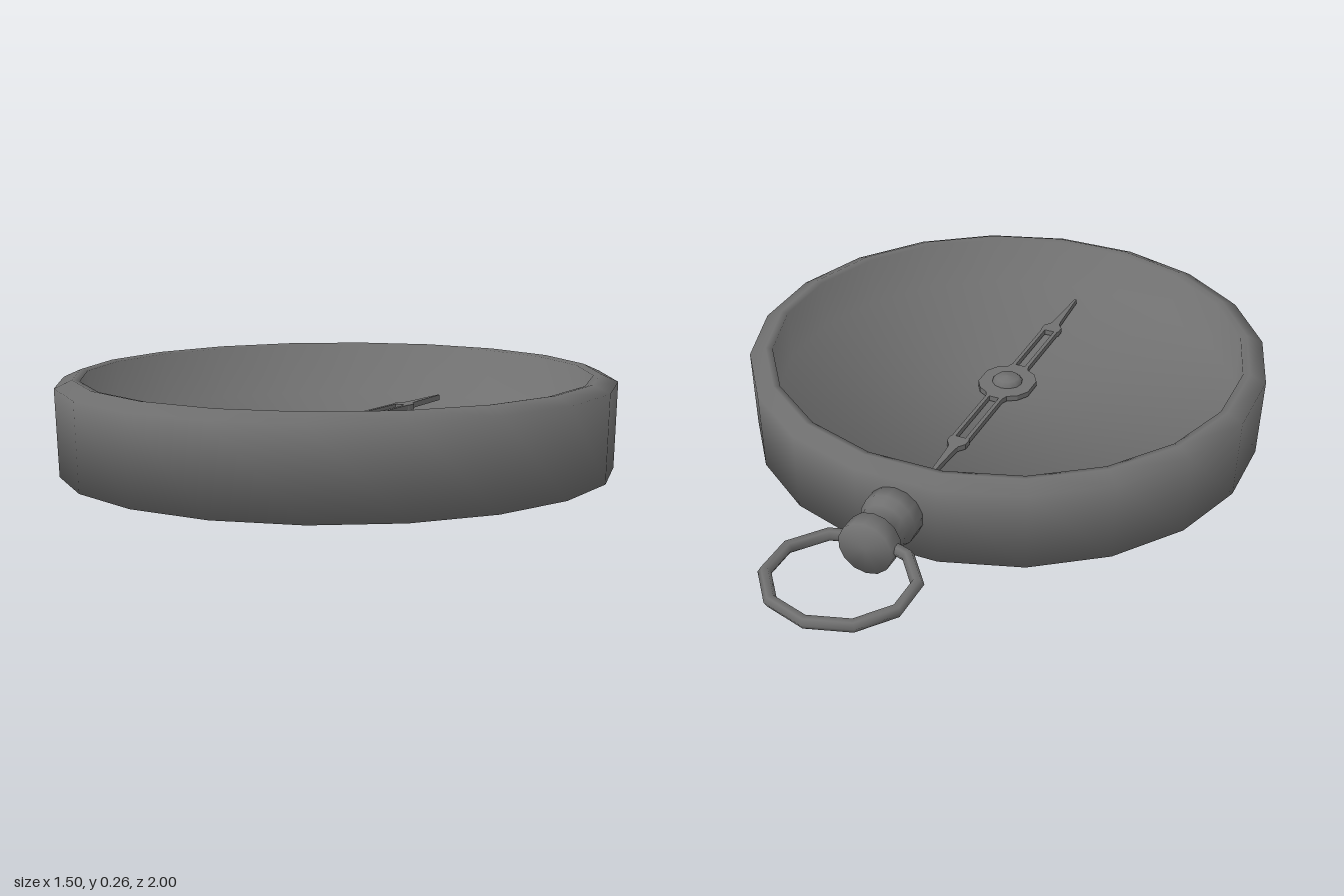
import * as THREE from 'three';

const material = new THREE.MeshStandardMaterial({ color: 0x707070 });
const CENTRE_Z = 0.25;

function add(group, name, geometry, x = 0, y = 0, z = 0) {
  const mesh = new THREE.Mesh(geometry, material);
  mesh.name = name;
  mesh.position.set(x, y, z);
  group.add(mesh);
  return mesh;
}

// Lathe from [radius, height] pairs; each corner shares the plain mean of its two face normals
function lathe(profile, sides, phi = 0) {
  const points = profile.map(([r, y]) => new THREE.Vector2(r, y));
  const faces = points.slice(1).map((p, i) => new THREE.Vector2(p.y - points[i].y, points[i].x - p.x).normalize());
  const corners = points.map((_, i) => {
    const before = faces[Math.max(i - 1, 0)];
    const after = faces[Math.min(i, faces.length - 1)];
    return before.clone().add(after).normalize();
  });
  const geometry = new THREE.LatheGeometry(points, sides, phi);
  const normals = geometry.attributes.normal;
  for (let i = 0; i < normals.count; i++) {
    const n = corners[i % points.length];
    const angle = phi + Math.floor(i / points.length) * 2 * Math.PI / sides;
    normals.setXYZ(i, n.x * Math.sin(angle), n.y, n.x * Math.cos(angle));
  }
  return geometry;
}

// Needle outline: octagonal hub, two slotted arms, tapered tips
function needleGeometry() {
  const half = [[0.08, 0.033], [0.06, 0.066], [0.033, 0.082], [0.026, 0.1], [0.026, 0.335],
    [0.029, 0.34], [0.029, 0.365], [0.014, 0.385], [0.011, 0.41], [0.003, 0.565]];
  const mirror = (pts, sx, sy) => pts.map(([x, y]) => new THREE.Vector2(x * sx, y * sy));
  const shape = new THREE.Shape([
    ...mirror(half, 1, 1), ...mirror(half, -1, 1).reverse(),
    ...mirror(half, -1, -1), ...mirror(half, 1, -1).reverse(),
  ]);
  const slot = [[0.015, 0.1], [0.015, 0.335], [-0.015, 0.335], [-0.015, 0.1]];
  for (const s of [1, -1]) shape.holes.push(new THREE.Path(mirror(slot, 1, s)));
  return new THREE.ExtrudeGeometry(shape, { depth: 0.016, bevelEnabled: false }).rotateX(-Math.PI / 2);
}

export function createModel() {
  const model = new THREE.Group();
  model.name = 'compass';

  // Twenty-sided open case with a bevelled rim and a recessed floor
  const caseProfile = [[0, 0], [0.749, 0], [0.757, 0.235], [0.71, 0.256], [0.69, 0.252], [0.687, 0.1], [0, 0.1]];
  add(model, 'case', lathe(caseProfile, 20, Math.PI / 20), 0, 0, CENTRE_Z);

  // Needle with its pivot
  const needle = new THREE.Group();
  needle.name = 'needle';
  needle.position.set(0, 0.1, CENTRE_Z);
  model.add(needle);
  add(needle, 'needleArms', needleGeometry(), 0, 0.006, 0);
  add(needle, 'pivotCap', lathe([[0.045, 0], [0.045, 0.026], [0.034, 0.037], [0, 0.042]], 12));

  // Waisted neck, turned towards the back
  const neckProfile = [[0, 0], [0.08, 0], [0.08, 0.06], [0.066, 0.085], [0.061, 0.125], [0.077, 0.137], [0.077, 0.19], [0, 0.19]];
  add(model, 'neck', lathe(neckProfile, 14).rotateX(-Math.PI / 2), 0, 0.13, -0.48);

  // Hanging loop lying flat, with a corner at the far end
  const loop = new THREE.TorusGeometry(0.184, 0.017, 6, 10)
    .rotateZ(Math.PI / 2).rotateX(-Math.PI / 2).scale(1.05, 1, 1);
  add(model, 'loop', loop, 0, 0.13, -0.8);

  return model;
}
